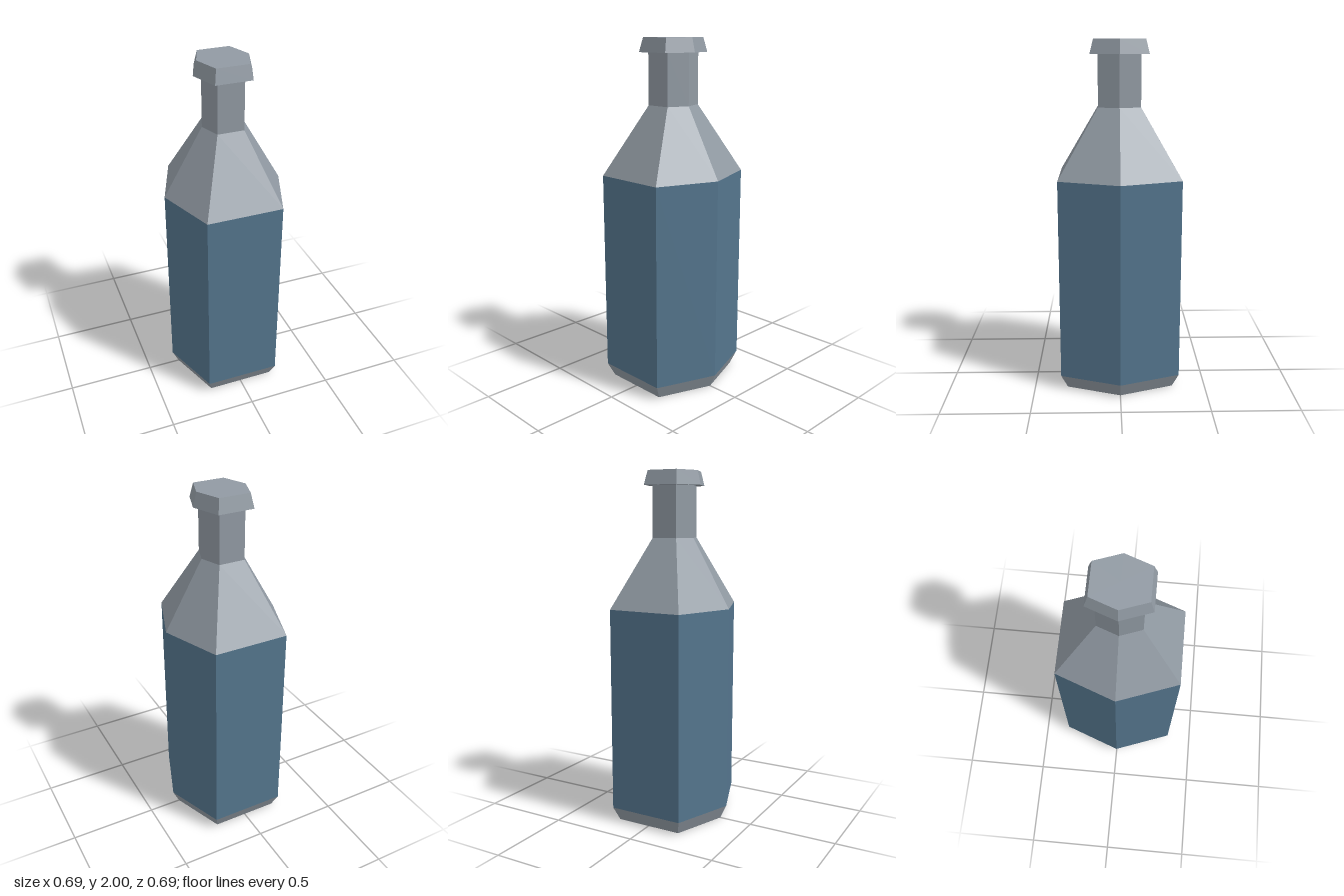
import * as THREE from 'three';

const SIDES = 6;
const CORNER = 0.63; // x of the front and back corners relative to the half-depth

// Six-sided band turned from a [radius, height] profile (bottom to top),
// stretched so half-width and half-depth both equal the radius.
function hexBand(name, profile, material) {
  const points = profile.map(([r, y]) => new THREE.Vector2(r, y));
  const geometry = new THREE.LatheGeometry(points, SIDES, Math.PI / 6).toNonIndexed();
  const pos = geometry.attributes.position;
  for (let i = 0; i < pos.count; i++) {
    const x = pos.getX(i), z = pos.getZ(i);
    if (Math.abs(z) > 1e-4) {
      pos.setX(i, x * CORNER / Math.sin(Math.PI / 6));
      pos.setZ(i, z / Math.cos(Math.PI / 6));
    }
  }
  geometry.computeVertexNormals();
  const mesh = new THREE.Mesh(geometry, material);
  mesh.name = name;
  return mesh;
}

export function createModel() {
  const glass = new THREE.MeshStandardMaterial({ color: 0x919aa3, flatShading: true });
  const blue = new THREE.MeshStandardMaterial({ color: 0x54758d, flatShading: true });

  const bottle = new THREE.Group();
  bottle.name = 'bottle';
  bottle.add(
    // closed bottom with a chamfered foot
    hexBand('base', [[0, 0], [0.308, 0], [0.345, 0.08]], glass),
    // straight coloured sides
    hexBand('body', [[0.345, 0.08], [0.345, 1.24]], blue),
    // sloping shoulder running into the neck
    hexBand('shoulder', [[0.345, 1.24], [0.12, 1.63]], glass),
    hexBand('neck', [[0.12, 1.63], [0.12, 1.92]], glass),
    // tapered cap with an overhanging rim
    hexBand('cap', [[0.12, 1.92], [0.164, 1.92], [0.144, 2], [0, 2]], glass)
  );
  return bottle;
}
